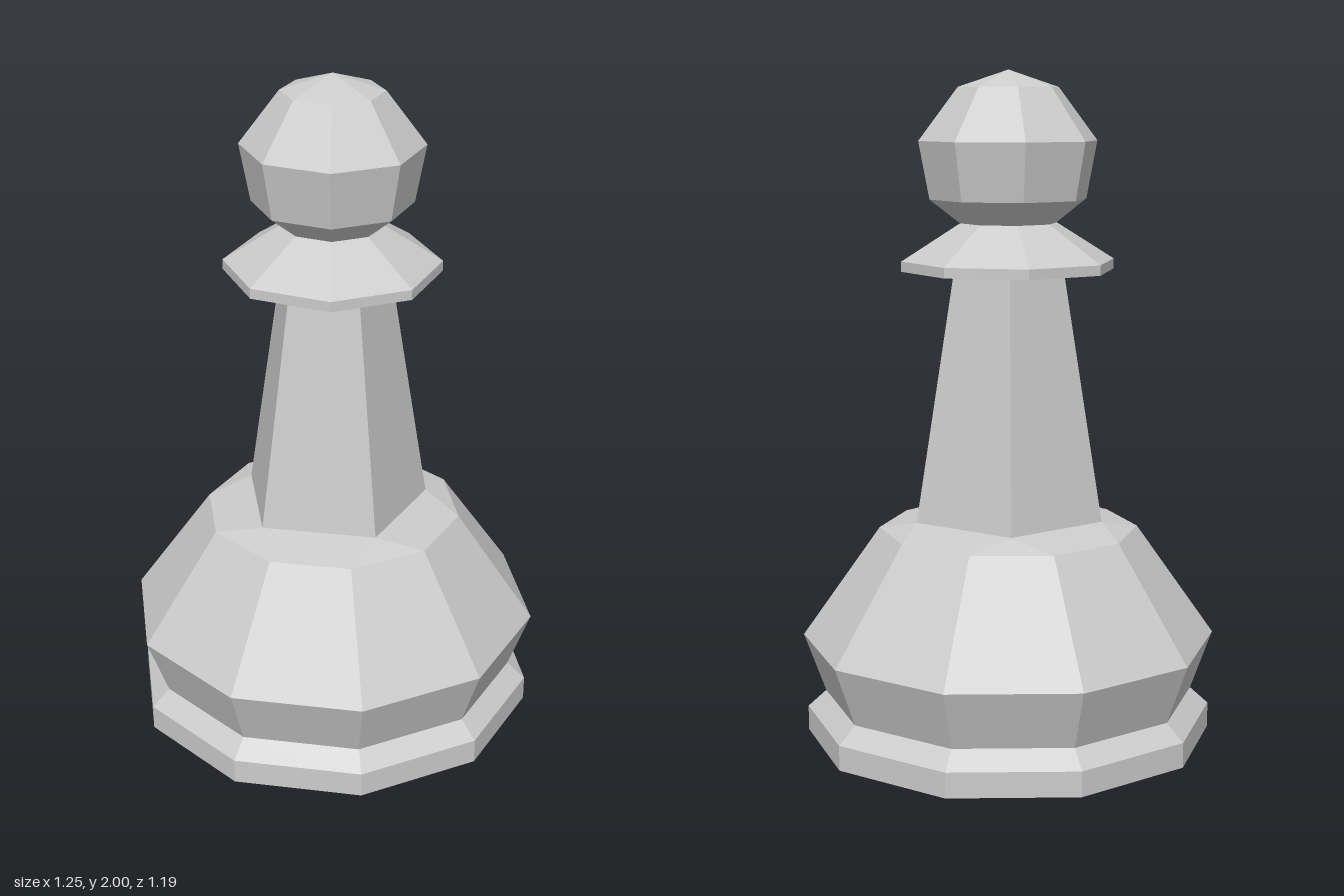
import * as THREE from 'three';

const material = new THREE.MeshStandardMaterial({ color: 0xcccccc, flatShading: true });
const deg = THREE.MathUtils.degToRad;

// Faceted solid of revolution; profile is [radius, y] from bottom to top
function turned(name, profile, sides, startDeg = 0) {
  const points = profile.map(([r, y]) => new THREE.Vector2(r, y));
  const geometry = new THREE.LatheGeometry(points, sides, deg(startDeg)).toNonIndexed();
  geometry.computeVertexNormals();
  const mesh = new THREE.Mesh(geometry, material);
  mesh.name = name;
  return mesh;
}

// Sloped ring joining the ten-sided base to the five-sided stem
function shoulder(lowRadius, lowY, highRadius, highY) {
  const low = (a) => [lowRadius * Math.sin(deg(a)), lowY, lowRadius * Math.cos(deg(a))];
  const high = (a) => [highRadius * Math.sin(deg(a)), highY, highRadius * Math.cos(deg(a))];
  const positions = [];
  for (let a = 0; a < 360; a += 72) {
    // Triangle below each stem corner, then a quad below each stem side
    positions.push(...low(a - 18), ...low(a + 18), ...high(a));
    positions.push(...low(a + 18), ...low(a + 54), ...high(a + 72));
    positions.push(...low(a + 18), ...high(a + 72), ...high(a));
  }
  const geometry = new THREE.BufferGeometry();
  geometry.setAttribute('position', new THREE.Float32BufferAttribute(positions, 3));
  geometry.computeVertexNormals();
  const mesh = new THREE.Mesh(geometry, material);
  mesh.name = 'shoulder';
  return mesh;
}

export function createModel() {
  const pawn = new THREE.Group();
  pawn.name = 'pawn';

  // Foot ring, waist and flared body, closed underneath
  pawn.add(turned('base', [
    [0, 0], [0.615, 0], [0.615, 0.075], [0.56, 0.125], [0.625, 0.303], [0.39, 0.637],
  ], 10, 18));

  pawn.add(shoulder(0.39, 0.637, 0.29, 0.67));

  // Tapered five-sided stem with one corner facing the front
  pawn.add(turned('stem', [[0.29, 0.67], [0.17, 1.415]], 5));

  // Collar with a flat underside and sloping top
  pawn.add(turned('collar', [[0, 1.415], [0.32, 1.415], [0.32, 1.445], [0.145, 1.555]], 8));

  // Faceted ball
  pawn.add(turned('head', [
    [0.145, 1.555], [0.235, 1.625], [0.267, 1.795], [0.15, 1.95], [0, 2],
  ], 8));

  return pawn;
}
